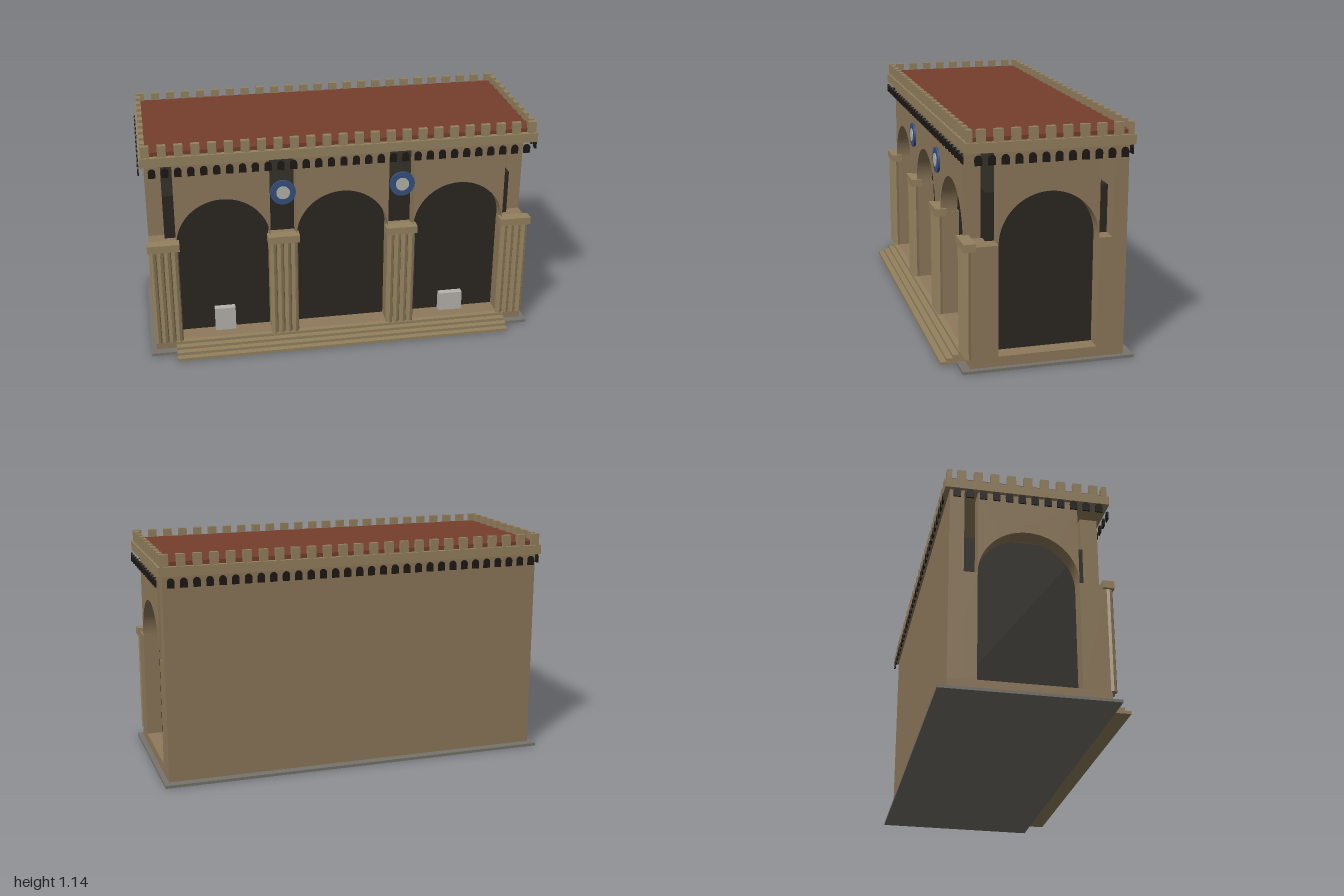
import * as THREE from 'three';

const mat = (color) => new THREE.MeshStandardMaterial({ color, flatShading: true });

export function createModel() {
  const model = new THREE.Group();
  const stone = mat(0x8f7a5c), trim = mat(0x95825f), dark = mat(0x2c2822), black = mat(0x1c1815);
  const paving = mat(0x77746c), tile = mat(0x763f2d), blue = mat(0x35507f), pale = mat(0xb5b3ac);

  const add = (name, geometry, material, parent = model) => {
    const mesh = new THREE.Mesh(geometry, material);
    mesh.name = name;
    parent.add(mesh);
    return mesh;
  };
  // Box given by its extents on each axis
  const box = (name, material, x0, x1, y0, y1, z0, z1, parent) => {
    const g = new THREE.BoxGeometry(x1 - x0, y1 - y0, z1 - z0);
    g.translate((x0 + x1) / 2, (y0 + y1) / 2, (z0 + z1) / 2);
    return add(name, g, material, parent);
  };
  const group = (name) => {
    const g = new THREE.Group();
    g.name = name;
    model.add(g);
    return g;
  };

  // Paving, floor and front steps
  box('paving', paving, -0.995, 0.995, 0, 0.014, -0.455, 0.38);
  box('floor', stone, -0.97, 0.97, 0.014, 0.063, -0.41, 0.34);
  const steps = group('frontSteps');
  for (let i = 0; i < 4; i++) {
    box('step', trim, -0.868, 0.868, i ? 0.003 + i * 0.015 : 0.003, 0.018 + i * 0.015, 0.33, 0.457 - i * 0.03, steps);
  }

  // Dark inner room and back wall
  box('innerRoom', dark, -0.89, 0.89, 0.063, 0.83, -0.345, 0.247);
  box('backWall', stone, -0.97, 0.97, 0.063, 1.035, -0.41, -0.34);

  // Lower piers
  const piers = group('piers');
  const pierX = [-0.9025, -0.3025, 0.3025, 0.9025];
  for (const x of pierX) {
    const z0 = Math.abs(x) > 0.5 ? 0.205 : 0.245;
    box('pier', stone, x - 0.0675, x + 0.0675, 0.063, 0.6, z0, 0.34, piers);
  }
  for (const x of [-0.9025, 0.9025]) {
    box('rearPier', stone, x - 0.0675, x + 0.0675, 0.063, 0.6, -0.41, -0.275, piers);
  }

  // Wall panel above the spring line with a half-round cut from below
  const archPanel = (radius, depth) => {
    const s = new THREE.Shape();
    s.moveTo(radius, 0.6);
    s.lineTo(radius, 1.035);
    s.lineTo(-radius, 1.035);
    s.lineTo(-radius, 0.6);
    s.absarc(0, 0.6, radius, Math.PI, 0, true);
    return new THREE.ExtrudeGeometry(s, { depth, bevelEnabled: false, curveSegments: 24 });
  };
  const arches = group('arches');
  for (const x of [-0.601, 0, 0.601]) {
    add('frontArch', archPanel(0.235, 0.085), stone, arches).position.set(x, 0, 0.255);
  }
  for (const side of [-1, 1]) {
    const m = add('sideArch', archPanel(0.24, 0.08), stone, arches);
    m.rotation.y = side * Math.PI / 2;
    m.position.set(side * 0.89, 0, -0.035);
  }

  // Clustered columns with a shared capital
  const shaft = new THREE.CylinderGeometry(0.019, 0.019, 0.52, 8);
  for (const x of pierX) {
    const cluster = group('columnCluster');
    for (let i = 0; i < 4; i++) {
      add('column', shaft, trim, cluster).position.set(x + (i - 1.5) * 0.036, 0.321, 0.347);
    }
    box('capital', trim, x - 0.08, x + 0.08, 0.581, 0.619, 0.313, 0.37, cluster);
  }

  // Round medallions between the arches
  const disc = (r, h) => new THREE.CylinderGeometry(r, r, h, 24).rotateX(Math.PI / 2);
  for (const x of [-0.301, 0.301]) {
    const medallion = group('medallion');
    add('medallionRim', disc(0.064, 0.012), blue, medallion).position.set(x, 0.852, 0.344);
    add('medallionCentre', disc(0.034, 0.012), pale, medallion).position.set(x, 0.852, 0.348);
  }

  // Pale blocks on the floor
  box('leftBlock', pale, 0.535, 0.66, 0.063, 0.165, 0.25, 0.285);
  box('rightBlock', pale, -0.658, -0.552, 0.063, 0.19, 0.25, 0.285);

  // Cornice and roof
  box('cornice', trim, -0.99, 0.99, 1.035, 1.082, -0.435, 0.36);
  box('roof', tile, -0.965, 0.965, 1.08, 1.102, -0.41, 0.335);

  // Battlements around the roof
  const battlements = group('battlements');
  for (let i = 0; i < 25; i++) {
    const x = -0.96 + i * 0.08;
    for (const z of [0.34, -0.415]) {
      box('merlon', trim, x - 0.021, x + 0.021, 1.08, 1.14, z - 0.012, z + 0.012, battlements);
    }
  }
  for (let i = 0; i < 9; i++) {
    const z = 0.287 - i * 0.0804;
    for (const x of [-0.97, 0.97]) {
      box('merlon', trim, x - 0.012, x + 0.012, 1.08, 1.14, z - 0.021, z + 0.021, battlements);
    }
  }

  // Small dark round-topped plates under the cornice
  const s = new THREE.Shape();
  s.moveTo(-0.0175, 0.982);
  s.lineTo(0.0175, 0.982);
  s.lineTo(0.0175, 1.011);
  s.absarc(0, 1.011, 0.0175, 0, Math.PI, false);
  s.closePath();
  const plate = new THREE.ExtrudeGeometry(s, { depth: 0.007, bevelEnabled: false, curveSegments: 6 });
  plate.translate(0, 0, -0.0035);
  const frieze = group('archedFrieze');
  for (let i = 0; i < 31; i++) {
    for (const z of [0.364, -0.436]) {
      add('friezeArch', plate, black, frieze).position.set((i - 15) * 0.0622, 0, z);
    }
  }
  for (let i = 0; i < 12; i++) {
    for (const x of [-0.9965, 0.9965]) {
      const m = add('friezeArch', plate, black, frieze);
      m.rotation.y = Math.PI / 2;
      m.position.set(x, 0, 0.305 - i * 0.0622);
    }
  }
  return model;
}
